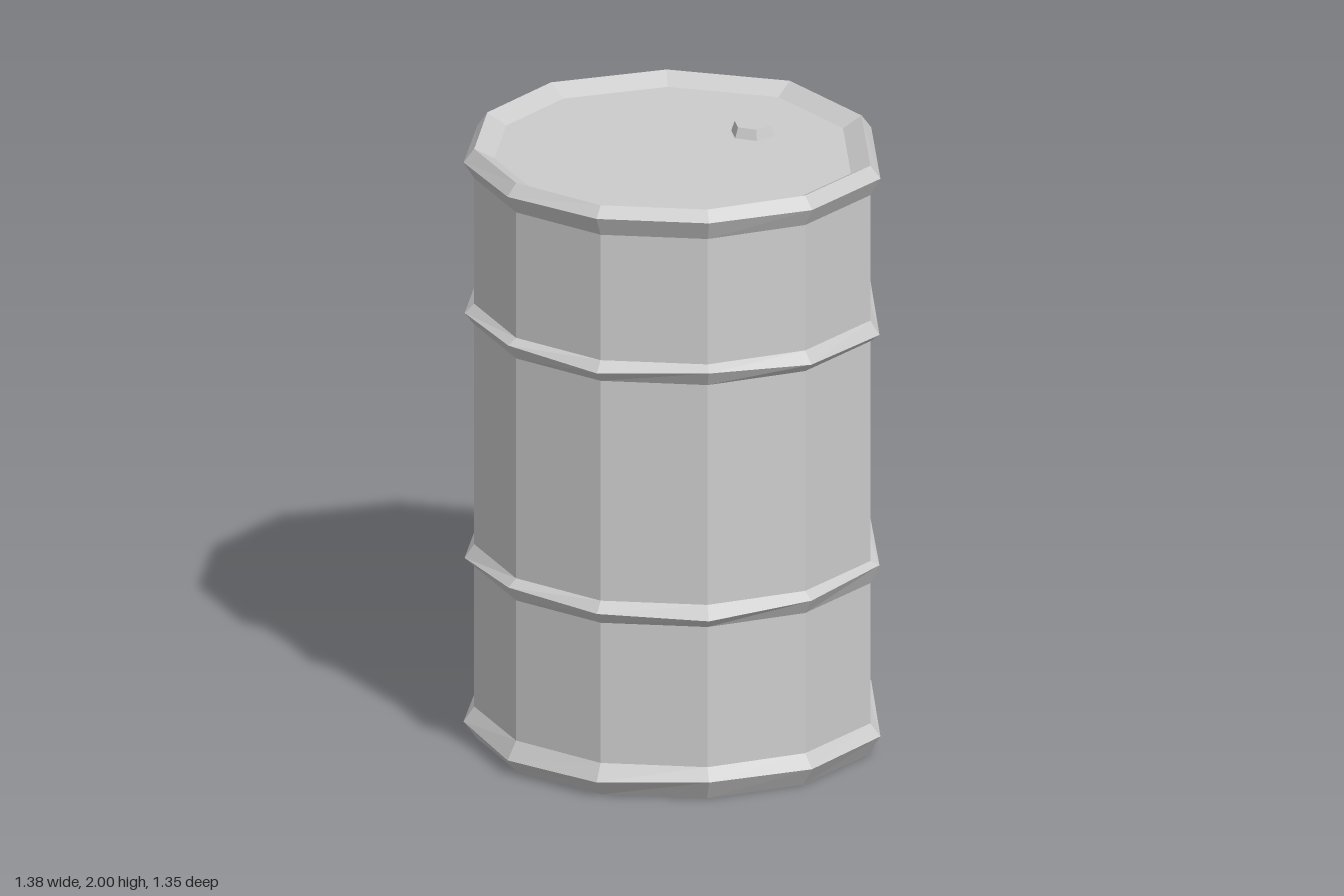
import * as THREE from 'three';

// Uneven eleven-sided outline (x, z) at the widest part of the hoops
const OUTLINE = [
  [0.69, 0], [0.495, -0.445], [0.155, -0.675], [-0.27, -0.635], [-0.59, -0.385], [-0.69, -0.04],
  [-0.61, 0.305], [-0.365, 0.565], [-0.025, 0.67], [0.325, 0.585], [0.585, 0.345],
];
const BODY = 0.95; // wall scale relative to the outline
const PAN = 0.855; // recessed end scale

// Hand-hammered height of each hoop's crest, one value per corner
const CREST = {
  bottom: [0.07, 0.08, 0.1, 0.07, 0.06, 0.05, 0.06, 0.05, 0.055, 0.07, 0.065],
  lower: [0.65, 0.635, 0.63, 0.63, 0.62, 0.61, 0.615, 0.635, 0.625, 0.615, 0.635],
  upper: [1.43, 1.44, 1.45, 1.44, 1.435, 1.44, 1.445, 1.455, 1.44, 1.455, 1.435],
  top: [1.96, 1.955, 1.945, 1.95, 1.955, 1.95, 1.955, 1.96, 1.965, 1.965, 1.96],
};

const material = new THREE.MeshStandardMaterial({ color: 0xcccccc, flatShading: true });

// Skins rings of [scale, height or per-corner heights], listed along the profile
function loft(name, rings) {
  const point = ([s, y], i) => {
    const k = i % OUTLINE.length;
    return [OUTLINE[k][0] * s, Array.isArray(y) ? y[k] : y, OUTLINE[k][1] * s];
  };
  const pos = [];
  for (let r = 0; r < rings.length - 1; r++) {
    const [lo, hi] = [rings[r], rings[r + 1]];
    for (let i = 0; i < OUTLINE.length; i++) {
      const a = point(lo, i), b = point(lo, i + 1), c = point(hi, i + 1), d = point(hi, i);
      if (lo[0] > 0) pos.push(...a, ...b, ...c);
      if (hi[0] > 0) pos.push(...a, ...c, ...d);
    }
  }
  const geometry = new THREE.BufferGeometry();
  geometry.setAttribute('position', new THREE.Float32BufferAttribute(pos, 3));
  geometry.computeVertexNormals();
  const mesh = new THREE.Mesh(geometry, material);
  mesh.name = name;
  return mesh;
}

export function createModel() {
  const barrel = new THREE.Group();
  barrel.name = 'barrel';

  // Ends, set in from the rims
  barrel.add(loft('base', [[0, 0.035], [PAN, 0.035]]));
  barrel.add(loft('lid', [[PAN, 1.965], [0, 1.965]]));

  // Rims
  barrel.add(loft('bottomRim', [[PAN, 0.035], [0.935, 0], [1, CREST.bottom], [BODY, 0.11]]));
  barrel.add(loft('topRim', [[BODY, 1.9], [1, CREST.top], [BODY, 2], [PAN, 1.965]]));

  // Rolled hoops around the wall
  const hoop = (name, crest, low, high) => loft(name, [[BODY, low], [0.995, crest], [BODY, high]]);
  barrel.add(hoop('lowerHoop', CREST.lower, 0.585, 0.66));
  barrel.add(hoop('upperHoop', CREST.upper, 1.405, 1.475));

  // Wall panels between the hoops
  [['lowerWall', 0.11, 0.585], ['middleWall', 0.66, 1.405], ['upperWall', 1.475, 1.9]]
    .forEach(([name, low, high]) => barrel.add(loft(name, [[BODY, low], [BODY, high]])));

  // Hexagonal plug on the lid
  const plug = new THREE.Mesh(new THREE.CylinderGeometry(0.062, 0.074, 0.035, 6, 1, false, Math.PI / 2), material);
  plug.name = 'plug';
  plug.position.set(0.17, 1.9815, -0.24);
  barrel.add(plug);

  return barrel;
}
